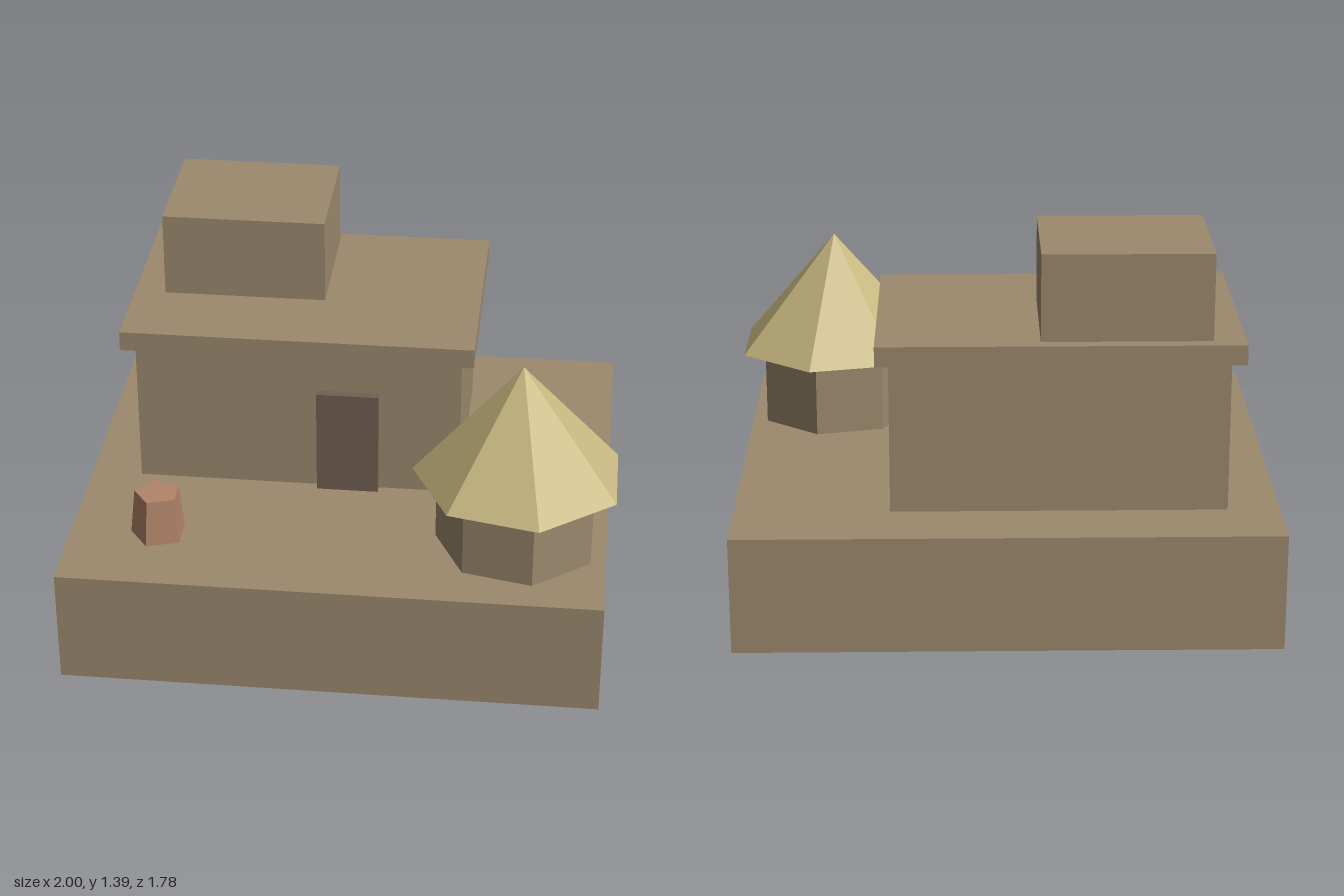
import * as THREE from 'three';

const paint = (name, color) => {
  const m = new THREE.MeshStandardMaterial({ color, flatShading: true });
  m.name = name;
  return m;
};

export function createModel() {
  const model = new THREE.Group();
  model.name = 'adobeHouse';

  const adobe = paint('adobe', 0x9d8a6e);
  const thatch = paint('thatch', 0xc8b880);
  const wood = paint('darkWood', 0x716152);
  const clay = paint('clay', 0xb28469);

  const add = (name, geometry, material, x, y, z) => {
    const mesh = new THREE.Mesh(geometry, material);
    mesh.name = name;
    mesh.position.set(x, y, z);
    model.add(mesh);
  };

  // Box given by its limits on each axis
  const block = (name, material, [x0, x1], [y0, y1], [z0, z1]) =>
    add(name, new THREE.BoxGeometry(x1 - x0, y1 - y0, z1 - z0), material,
      (x0 + x1) / 2, (y0 + y1) / 2, (z0 + z1) / 2);

  // Upright prism or cone with one corner pointing to -x
  const prism = (name, material, rTop, rBottom, sides, x, [y0, y1], z) =>
    add(name, new THREE.CylinderGeometry(rTop, rBottom, y1 - y0, sides, 1, false, -Math.PI / 2),
      material, x, (y0 + y1) / 2, z);

  const ground = 0.435;

  // Platform
  block('platform', adobe, [-1, 0.973], [0, ground], [-0.89, 0.89]);

  // House with overhanging flat roof and upper room
  block('houseWalls', adobe, [-0.81, 0.408], [ground, 1], [-0.635, 0.167]);
  block('flatRoof', adobe, [-0.86, 0.455], [1, 1.075], [-0.685, 0.21]);
  block('upperRoom', adobe, [-0.743, -0.132], [1.075, 1.395], [-0.635, -0.12]);
  block('door', wood, [-0.13, 0.102], [ground, 0.847], [0.15, 0.2]);

  // Round hut with thatched roof
  prism('hutWalls', adobe, 0.302, 0.302, 7, 0.645, [ground, 0.72], 0.47);
  prism('hutRoof', thatch, 0, 0.391, 7, 0.645, [0.72, 1.165], 0.47);

  // Clay pot
  prism('clayPot', clay, 0.086, 0.105, 5, -0.673, [ground, 0.612], 0.56);

  return model;
}
